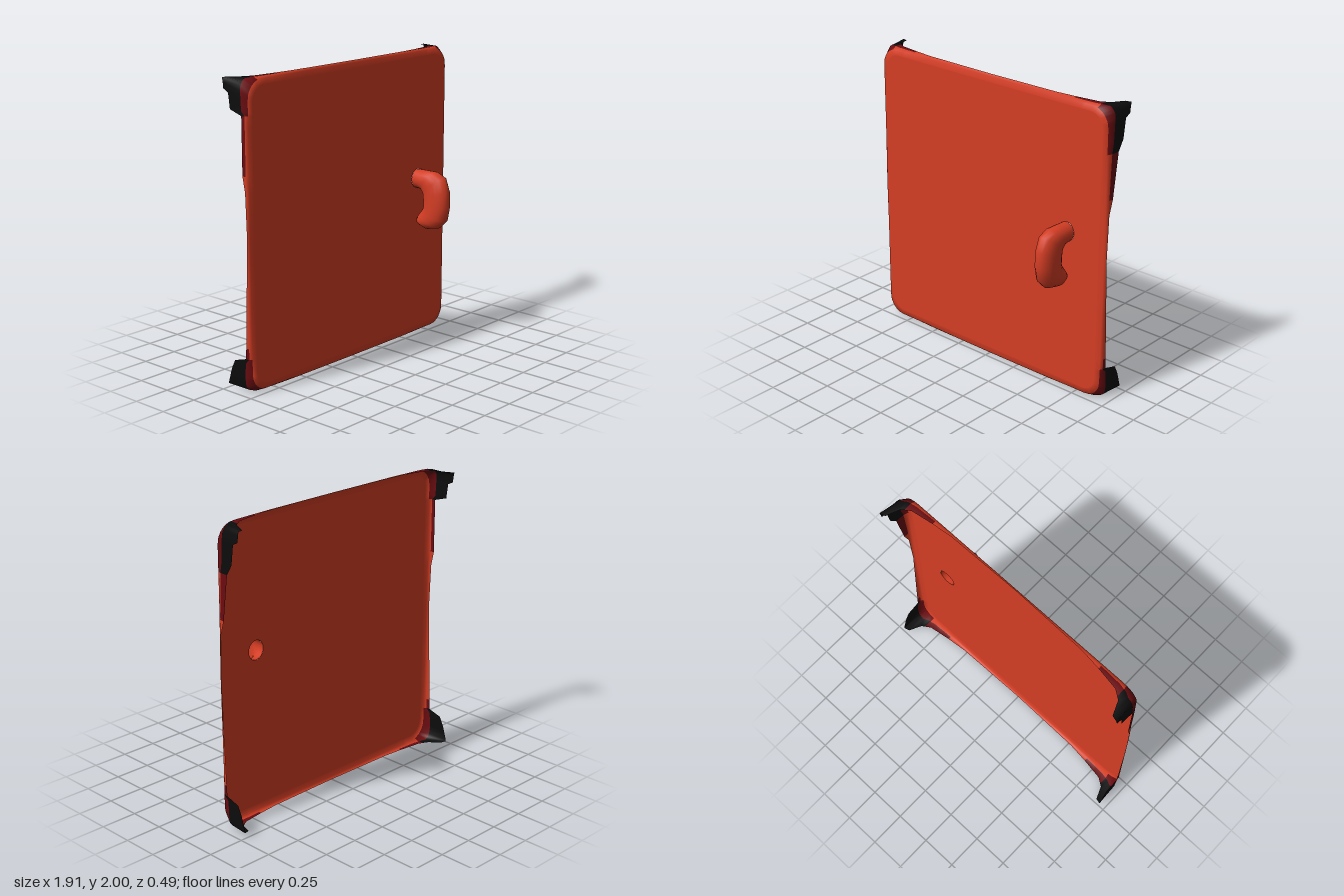
import * as THREE from 'three';

const HX = 0.957, HY = 1; // half width and half height of the panel

const paint = (name, color) => {
  const m = new THREE.MeshStandardMaterial({ color, side: THREE.DoubleSide });
  m.name = name;
  return m;
};

// linear lookup in a table of [position, depth]
function lookup(table, s) {
  for (let i = 1; i < table.length; i++) {
    const [a, da] = table[i - 1], [b, db] = table[i];
    if (s <= b) return da + (db - da) * (s - a) / (b - a);
  }
  return table[table.length - 1][1];
}

// how far the rim reaches back along the upright and the level edges
const SIDE = [[-1, .24], [-.96, .24], [-.86, .21], [-.8, .18], [-.77, .08], [-.5, .07], [0, .05],
  [.3, .06], [.4, .09], [.55, .11], [.7, .13], [.75, .17], [.9, .19], [.92, .23], [1, .24]];
const LEVEL = [[0, .05], [.6, .06], [.86, .1], [.92, .14], [.96, .23], [1, .24]];

// samples round the border, counter-clockwise, dense near the corners
function borderPoints() {
  const half = [0, .15, .3, .4, .55, .7, .77, .8, .86, .9, .92, .96];
  const steps = [-1, ...half.slice(1).reverse().map(v => -v), ...half];
  const points = [];
  for (let side = 0; side < 4; side++) {
    for (const s of steps) {
      const [u, v] = [[1, s], [-s, 1], [-1, -s], [s, -1]][side];
      const upright = side % 2 === 0;
      let depth = lookup(upright ? SIDE : LEVEL, upright ? v : Math.abs(u));
      if (upright && u < 0 && v > .35 && v < .8) depth = Math.min(depth, .08);
      points.push({ x: u * HX, y: v * HY, depth });
    }
  }
  return points;
}

// moves a border point onto an inset rounded rectangle
function rounded(p, inset, r) {
  const cx = THREE.MathUtils.clamp(p.x, -(HX - inset - r), HX - inset - r);
  const cy = THREE.MathUtils.clamp(p.y, -(HY - inset - r), HY - inset - r);
  const k = r / Math.hypot(p.x - cx, p.y - cy);
  return [cx + (p.x - cx) * k, cy + (p.y - cy) * k + 1];
}

// joins closed rings of equal length; pick(ring, i) chooses the material index
function loft(rings, pick = () => 0) {
  const n = rings[0].length, buckets = [[], [], []];
  for (let r = 0; r + 1 < rings.length; r++) {
    for (let i = 0; i < n; i++) {
      const j = (i + 1) % n, a = r * n + i, b = r * n + j;
      buckets[pick(r, i)].push(a, a + n, b, b, a + n, b + n);
    }
  }
  const geo = new THREE.BufferGeometry();
  geo.setAttribute('position', new THREE.Float32BufferAttribute(rings.flat(2), 3));
  geo.setIndex(buckets.flat());
  let start = 0;
  buckets.forEach((b, i) => {
    if (b.length) geo.addGroup(start, b.length, i);
    start += b.length;
  });
  geo.computeVertexNormals();
  return geo;
}

export function createModel() {
  const red = paint('red paint', 0xd43d24);
  const darkRed = paint('dark red edge', 0x6a0c10);
  const black = paint('black corner', 0x0c0c0c);
  const group = new THREE.Group();
  group.name = 'door';
  const add = (name, geo, mat) => {
    const mesh = new THREE.Mesh(geo, mat);
    mesh.name = name;
    group.add(mesh);
  };

  // flat sheet with the opening behind the handle
  const border = borderPoints();
  const sheet = new THREE.Shape(border.map(p => new THREE.Vector2(...rounded(p, .05, .1))));
  const hole = new THREE.Path();
  hole.absellipse(.65, 1.115, .06, .065, 0, Math.PI * 2, true);
  sheet.holes.push(hole);
  const sheetGeo = new THREE.ShapeGeometry(sheet, 20);
  sheetGeo.translate(0, 0, -.032);
  add('panel', sheetGeo, red);

  // rolled rim, reaching back into dark flanges at the corners
  const rings = [
    border.map(p => [...rounded(p, .05, .1), -.032]),
    border.map(p => [...rounded(p, .014, .12), -.037]),
    border.map(p => [...rounded(p, .002, .07), -Math.min(.09, .03 + p.depth * .3)]),
    border.map(p => {
      const back = Math.max(0, p.depth - .05) / .19;
      const y = p.y + 1;
      return [p.x, y < .04 ? y + .03 * back : y > 1.98 ? y - .012 * back : y, -p.depth];
    }),
  ];
  const rim = loft(rings, (r, i) => {
    const d = (border[i].depth + border[(i + 1) % border.length].depth) / 2;
    if (r === 0) return 0;
    if (r === 1) return d > .12 ? 1 : 0;
    return d > .125 ? 2 : d > .078 ? 1 : 0;
  });
  add('rim', rim, [red, darkRed, black]);

  // handle: oval sections given by inner z, y, outer z, y and half width
  const sections = [
    [-.032, 1.05, -.032, 1.18, .06], [0, 1.05, .05, 1.182, .068], [.02, 1.045, .13, 1.182, .07],
    [.035, 1.02, .205, 1.15, .07], [.04, .97, .24, 1.06, .07], [.04, .93, .245, .95, .07],
    [.03, .91, .225, .85, .07], [.015, .89, .17, .795, .068], [0, .87, .08, .775, .062],
    [-.01, .85, .015, .795, .045], [-.014, .825, -.012, .818, .005],
  ];
  const handle = sections.map(([iz, iy, oz, oy, w]) => Array.from({ length: 20 }, (_, i) => {
    const a = i / 20 * Math.PI * 2, t = (1 + Math.cos(a)) / 2;
    return [.65 + w * Math.sin(a), iy + (oy - iy) * t, iz + (oz - iz) * t];
  }));
  add('handle', loft(handle), [red]);

  return group;
}
